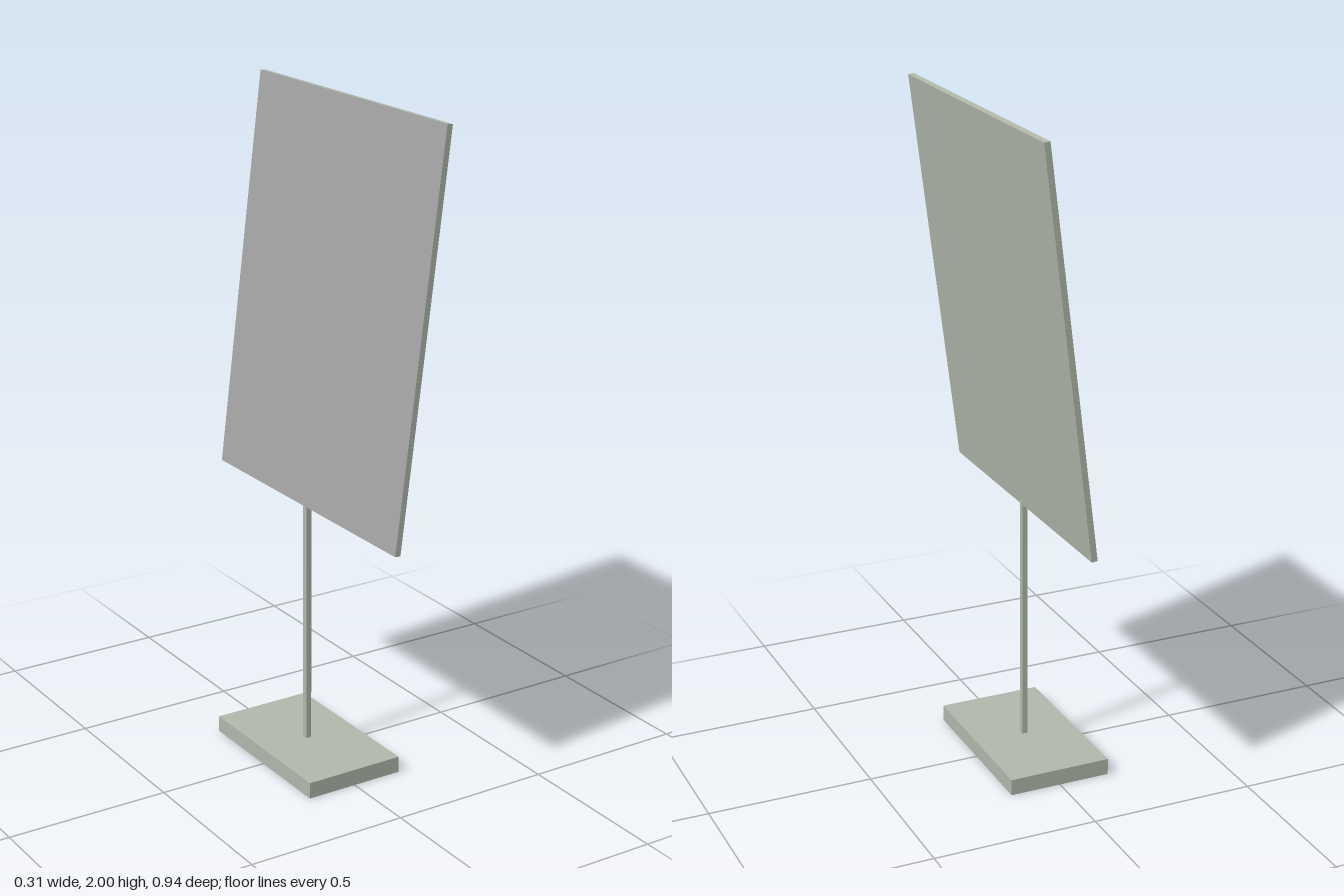
import * as THREE from 'three';

export function createModel() {
  const model = new THREE.Group();
  model.name = 'tiltedMirrorStand';
  const frameMat = new THREE.MeshStandardMaterial({ color: 0xb0b8ab });
  const glassMat = new THREE.MeshStandardMaterial({ color: 0xa6a6a6 });

  const box = (name, w, h, d, x, y, parent = model) => {
    const mesh = new THREE.Mesh(new THREE.BoxGeometry(w, h, d), frameMat);
    mesh.name = name;
    mesh.position.set(x, y, 0);
    parent.add(mesh);
    return mesh;
  };

  // Flat foot and slim square post
  box('base', 0.314, 0.05, 0.524, 0, 0.025);
  box('post', 0.017, 0.775, 0.019, 0, 0.4325);

  // Leaning panel: backing board with a grey face on its upper side
  const panel = new THREE.Group();
  panel.name = 'panel';
  panel.position.set(0.072, 1.4, 0);
  panel.rotation.z = -0.124;
  model.add(panel);
  const W = 0.944, H = 1.207, T = 0.018;
  box('backingBoard', T, H, W, 0, 0, panel);

  const face = new THREE.Mesh(new THREE.PlaneGeometry(W, H), glassMat);
  face.name = 'mirrorFace';
  face.rotation.y = -Math.PI / 2;
  face.position.x = -T / 2 - 0.0008;
  panel.add(face);

  return model;
}
